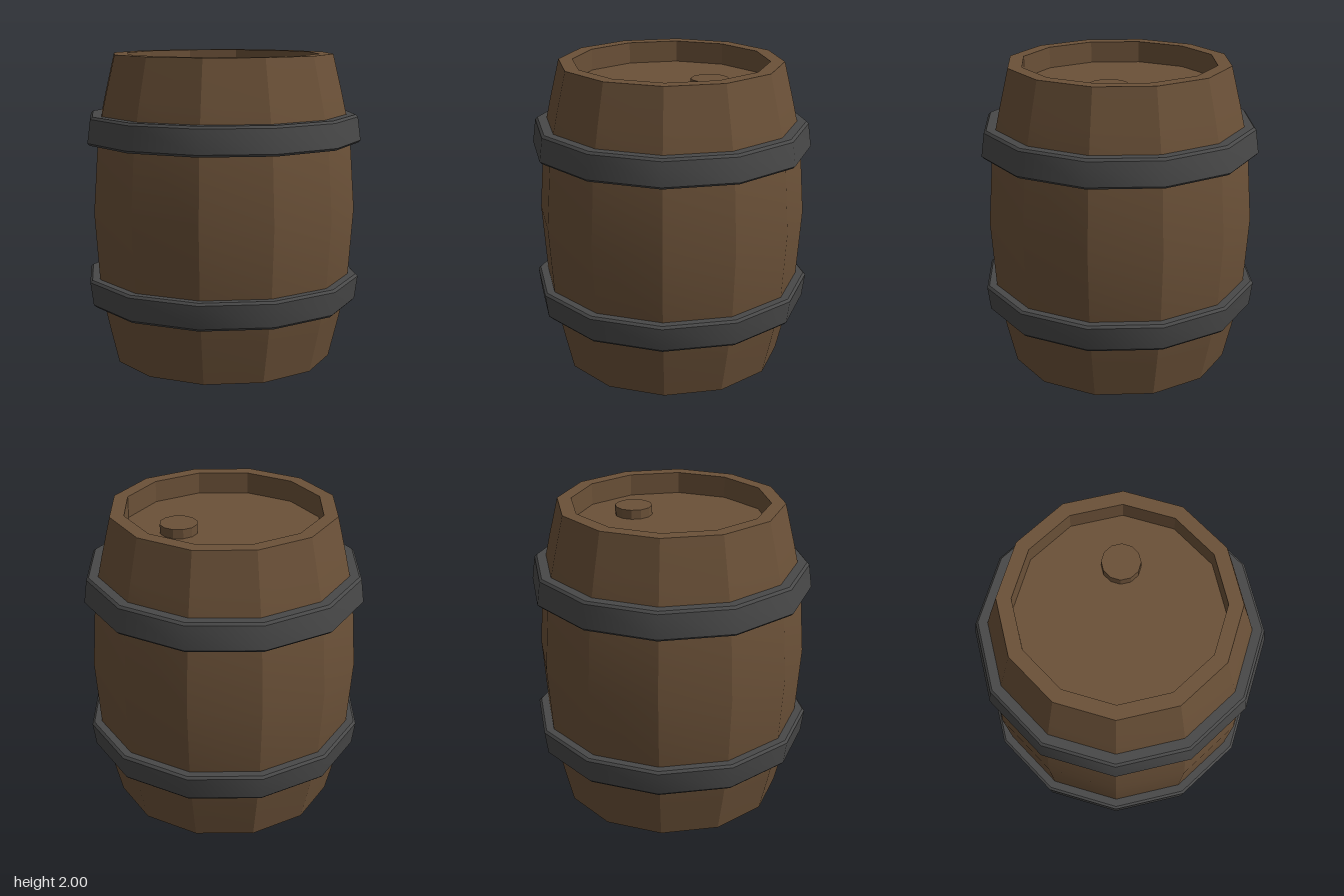
import * as THREE from 'three';
import { toCreasedNormals } from 'three/addons/utils/BufferGeometryUtils.js';

const SIDES = 12;

// Twelve-sided turned part; edges sharper than the crease angle stay hard
function turned(name, profile, material, crease) {
  const points = profile.map(([r, y]) => new THREE.Vector2(r, y));
  const geometry = toCreasedNormals(new THREE.LatheGeometry(points, SIDES), crease);
  const mesh = new THREE.Mesh(geometry, material);
  mesh.name = name;
  return mesh;
}

// Mirrors a profile about mid-height, keeping its winding outward
const flip = (profile) => profile.map(([r, y]) => [r, 2 - y]).reverse();

export function createModel() {
  const wood = new THREE.MeshStandardMaterial({ color: 0x6b5138 });
  wood.name = 'wood';
  const iron = new THREE.MeshStandardMaterial({ color: 0x484848 });
  iron.name = 'iron';

  const barrel = new THREE.Group();
  barrel.name = 'barrel';

  // Bulging staves with a recessed head at each end
  const lower = [[0, 0.14], [0.63, 0.14], [0.63, 0], [0.72, 0], [0.78, 0.25], [0.835, 0.5]];
  barrel.add(turned('staves', [...lower, [0.87, 1], ...flip(lower)], wood, 0.35));

  // Bevelled hoops, flaring towards the belly
  const hoop = [
    [0.76, 0.385], [0.87, 0.385], [0.885, 0.4], [0.905, 0.55],
    [0.89, 0.565], [0.76, 0.565], [0.76, 0.385],
  ];
  barrel.add(turned('lowerHoop', hoop, iron, 0.6));
  barrel.add(turned('upperHoop', flip(hoop), iron, 0.6));

  // A bung on each head
  for (const [name, y] of [['topBung', 1.885], ['bottomBung', 0.115]]) {
    const geometry = toCreasedNormals(new THREE.CylinderGeometry(0.12, 0.12, 0.07, SIDES), 0.35);
    const bung = new THREE.Mesh(geometry, wood);
    bung.name = name;
    bung.position.set(0.29, y, 0);
    barrel.add(bung);
  }

  return barrel;
}
